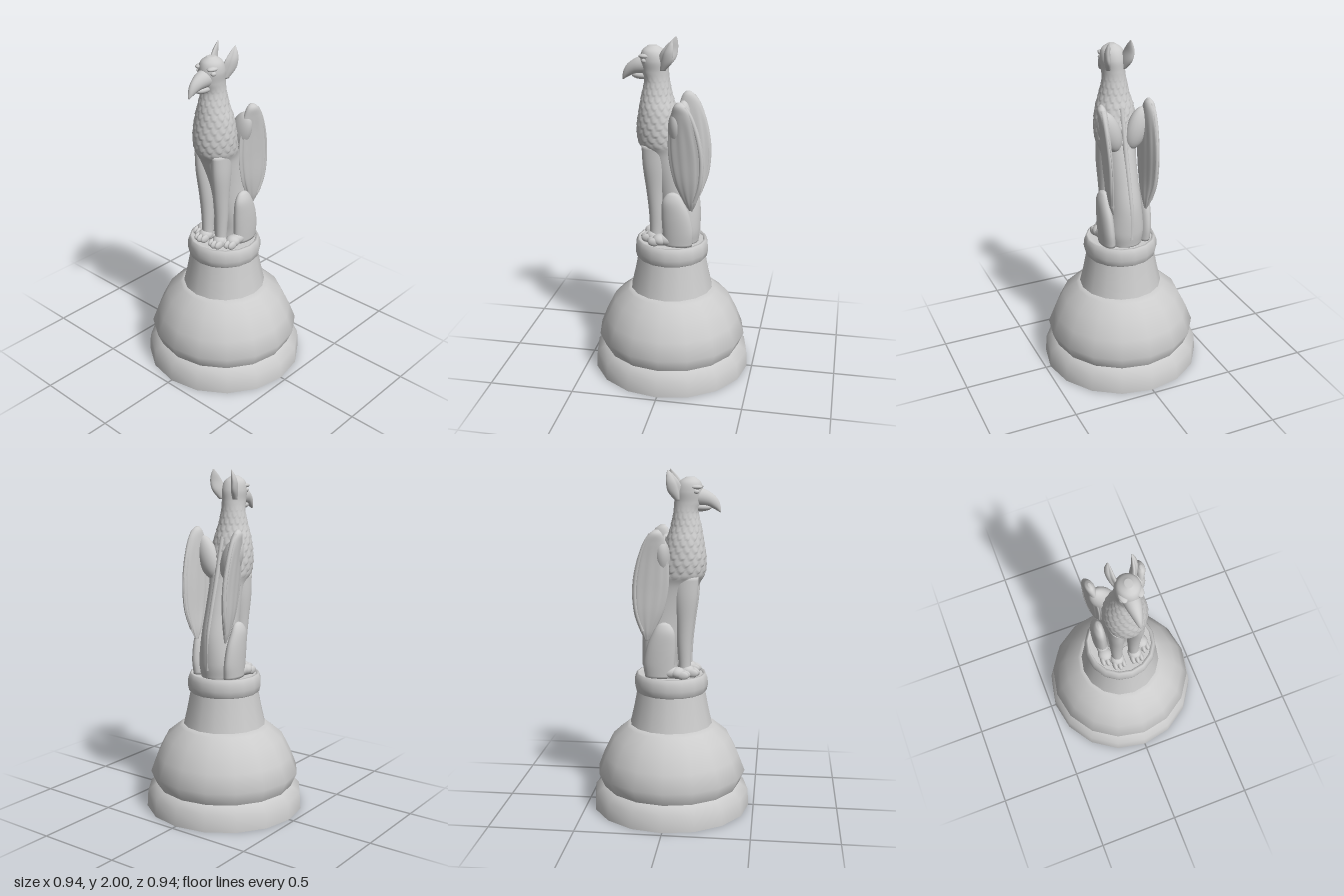
import * as THREE from 'three';

const stone = new THREE.MeshStandardMaterial({ color: 0xcccccc });
const frac = (v) => v - Math.floor(v);

function add(parent, name, geometry) {
  const mesh = new THREE.Mesh(geometry, stone);
  mesh.name = name;
  parent.add(mesh);
  return mesh;
}

// Smooth skin over elliptical sections [x, y, z, rx, rz, turn], listed upwards.
function loft(stations, rows = 32, cols = 24, swell = () => 1) {
  const spline = (f) => new THREE.CatmullRomCurve3(
    stations.map((s) => new THREE.Vector3(...f(s))), false, 'catmullrom');
  const centre = spline((s) => [s[0], s[1], s[2]]);
  const size = spline((s) => [s[3], s[4], s[5] || 0]);
  const pos = [], index = [];
  for (let j = 0; j <= rows; j++) {
    const c = centre.getPoint(j / rows), r = size.getPoint(j / rows);
    const cos = Math.cos(r.z), sin = Math.sin(r.z);
    for (let i = 0; i < cols; i++) {
      const a = (i / cols) * Math.PI * 2, k = swell(a, c.y);
      const px = r.x * Math.cos(a) * k, pz = r.y * Math.sin(a) * k;
      pos.push(c.x + px * cos + pz * sin, c.y, c.z - px * sin + pz * cos);
      if (j < rows) {
        const p = j * cols + i, n = j * cols + (i + 1) % cols;
        index.push(p, p + cols, n, n, p + cols, n + cols);
      }
    }
  }
  // end caps
  const first = centre.getPoint(0), last = centre.getPoint(1);
  pos.push(first.x, first.y, first.z, last.x, last.y, last.z);
  const b = (rows + 1) * cols, top = rows * cols;
  for (let i = 0; i < cols; i++) {
    const n = (i + 1) % cols;
    index.push(b, i, n, b + 1, top + n, top + i);
  }
  const g = new THREE.BufferGeometry();
  g.setAttribute('position', new THREE.Float32BufferAttribute(pos, 3));
  g.setIndex(index);
  g.computeVertexNormals();
  return g;
}

function ellipsoid(x, y, z, rx, ry, rz) {
  return new THREE.SphereGeometry(1, 20, 14).scale(rx, ry, rz).translate(x, y, z);
}

function lathe(points) {
  return new THREE.LatheGeometry(points.map(([r, y]) => new THREE.Vector2(r, y)), 16);
}

// Overlapping feather scales over the mantle and neck
function feathers(a, y) {
  const fade = THREE.MathUtils.smoothstep(y, 1.38, 1.42) * (1 - THREE.MathUtils.smoothstep(y, 1.7, 1.82));
  let h = 0;
  for (let k = 0; k < 2; k++) {
    const u = frac((a / (Math.PI * 2)) * 15 + k * 0.5) - 0.5;
    const w = frac(y / 0.075 + k * 0.5 - 1.6 * u * u);
    h = Math.max(h, (1 - w) * (1 - 3 * u * u));
  }
  return 1 + 0.075 * fade * (h - 0.5);
}

function paw(parent, name, x, z) {
  const g = new THREE.Group();
  g.name = name;
  parent.add(g);
  add(g, 'instep', ellipsoid(x, 0.843, z - 0.025, 0.042, 0.035, 0.045));
  for (const i of [-1, 0, 1]) {
    add(g, 'toe', ellipsoid(x + i * 0.026, 0.834, z + 0.015 - Math.abs(i) * 0.008, 0.015, 0.025, 0.035));
  }
}

export function createModel() {
  const model = new THREE.Group();
  model.name = 'winged beast statue';

  // Pedestal
  const pedestal = new THREE.Group();
  pedestal.name = 'pedestal';
  model.add(pedestal);
  add(pedestal, 'underside', new THREE.CircleGeometry(0.47, 16).rotateX(Math.PI / 2));
  add(pedestal, 'foot', lathe([[0.47, 0], [0.464, 0.1], [0.41, 0.14]]));
  add(pedestal, 'dome', lathe([[0.41, 0.14], [0.444, 0.22], [0.405, 0.32], [0.35, 0.43], [0.27, 0.495], [0.25, 0.51], [0.2, 0.515]]));
  add(pedestal, 'drum', lathe([[0.245, 0.51], [0.222, 0.61], [0.203, 0.71]]));
  add(pedestal, 'collar', lathe([[0.2, 0.705], [0.211, 0.715], [0.219, 0.75], [0.216, 0.79], [0.205, 0.818], [0.195, 0.82], [0.188, 0.808]]));
  add(pedestal, 'top', new THREE.CircleGeometry(0.2, 32).rotateX(-Math.PI / 2).translate(0, 0.81, 0));

  const beast = new THREE.Group();
  beast.name = 'beast';
  model.add(beast);

  // Rump, back, chest, neck and skull in one skin
  add(beast, 'body', loft([
    [0, 0.81, -0.06, 0.1, 0.1], [0, 0.9, -0.065, 0.11, 0.105], [0, 1.05, -0.045, 0.1, 0.12],
    [0, 1.2, -0.01, 0.095, 0.12], [0, 1.34, 0.035, 0.1, 0.125], [0, 1.41, 0.063, 0.117, 0.132],
    [0, 1.5, 0.075, 0.122, 0.127], [0, 1.6, 0.08, 0.11, 0.108], [0, 1.68, 0.085, 0.087, 0.089],
    [0, 1.76, 0.085, 0.07, 0.073], [0.002, 1.82, 0.095, 0.066, 0.078], [0.004, 1.88, 0.1, 0.07, 0.08],
    [0.004, 1.93, 0.105, 0.058, 0.063], [0.004, 1.96, 0.108, 0.02, 0.025],
  ], 180, 108, feathers));

  // Hooked beak, lofted forwards as [x, z, -y, rx, ry] and then tipped upright
  add(beast, 'beak', loft([
    [0.004, 0.12, -1.85, 0.052, 0.055], [0.004, 0.18, -1.845, 0.044, 0.05], [0.004, 0.22, -1.834, 0.034, 0.043],
    [0.004, 0.255, -1.812, 0.022, 0.037], [0.004, 0.275, -1.79, 0.012, 0.027], [0.004, 0.284, -1.772, 0.003, 0.01],
  ], 24, 24).rotateX(Math.PI / 2));
  add(beast, 'lowerJaw', ellipsoid(0.004, 1.79, 0.165, 0.034, 0.024, 0.065));

  for (const s of [1, -1]) {
    const side = new THREE.Group();
    side.name = s > 0 ? 'leftSide' : 'rightSide';
    beast.add(side);

    // Ear hollowed towards the front outer side
    const facing = s > 0 ? Math.PI * 0.25 : Math.PI * 0.75;
    add(side, 'ear', loft([
      [s * 0.045, 1.83, 0.05, 0.015, 0.025], [s * 0.057, 1.88, 0.032, 0.02, 0.046],
      [s * 0.066, 1.93, 0.018, 0.018, 0.041], [s * 0.066, 1.97, 0.002, 0.012, 0.024],
      [s * 0.063, 2.0, -0.012, 0.002, 0.004],
    ].map((p) => [p[0] + 0.005, ...p.slice(1), -s * 0.3]), 24, 24,
    (a) => 1 - 0.5 * Math.max(0, Math.cos(a - facing)) ** 4));
    add(side, 'brow', ellipsoid(s * 0.043 + 0.004, 1.905, 0.14, 0.024, 0.014, 0.04));
    add(side, 'eye', ellipsoid(s * 0.053 + 0.004, 1.88, 0.145, 0.013, 0.013, 0.018));

    // Front leg with shoulder muscle
    add(side, 'frontLeg', loft([
      [s * 0.053, 0.82, 0.088, 0.034, 0.036], [s * 0.053, 0.88, 0.085, 0.032, 0.036],
      [s * 0.054, 1.0, 0.083, 0.038, 0.043], [s * 0.056, 1.13, 0.087, 0.043, 0.053],
      [s * 0.062, 1.27, 0.09, 0.045, 0.068], [s * 0.065, 1.4, 0.09, 0.04, 0.075],
    ]));
    paw(side, 'frontPaw', s * 0.056, 0.125);

    // Folded hind leg
    add(side, 'haunch', loft([
      [s * 0.11, 0.815, -0.055, 0.043, 0.085], [s * 0.116, 0.9, -0.056, 0.042, 0.09],
      [s * 0.12, 1.0, -0.045, 0.04, 0.083], [s * 0.123, 1.08, -0.03, 0.033, 0.064],
      [s * 0.12, 1.125, -0.028, 0.02, 0.038], [s * 0.118, 1.14, -0.028, 0.004, 0.01],
    ]));
    add(side, 'hindFoot', ellipsoid(s * 0.115, 0.845, 0.01, 0.035, 0.035, 0.075));
    paw(side, 'hindPaw', s * 0.115, 0.075);

    // Upright folded wing: [y, leadX, leadZ, trailX, trailZ, halfThickness]
    const wing = [
      [1.03, 0.1, -0.12, 0.105, -0.14, 0.004], [1.09, 0.1, -0.085, 0.12, -0.165, 0.014],
      [1.2, 0.105, -0.035, 0.135, -0.197, 0.018], [1.35, 0.11, -0.005, 0.142, -0.204, 0.02],
      [1.5, 0.118, -0.005, 0.148, -0.178, 0.023], [1.6, 0.13, -0.02, 0.15, -0.142, 0.026],
      [1.65, 0.139, -0.035, 0.15, -0.11, 0.024], [1.675, 0.142, -0.055, 0.146, -0.08, 0.008],
    ];
    add(side, 'wing', loft(wing.map(([y, lx, lz, tx, tz, t]) => [
      s * (lx + tx) / 2, y, (lz + tz) / 2, t, Math.hypot(tx - lx, tz - lz) / 2,
      -s * Math.atan2(tx - lx, lz - tz),
    ]), 64, 60, (a, y) => 1 + 0.05 * Math.sin(a * 10) * (1 - THREE.MathUtils.smoothstep(y, 1.45, 1.62))));

    // Raised rim along the outer edge of the wing
    const rim = new THREE.CatmullRomCurve3(wing.slice(1, 7).map(
      ([, , , tx, tz], i) => new THREE.Vector3(s * tx, wing[i + 1][0], tz + 0.012)));
    add(side, 'wingRim', new THREE.TubeGeometry(rim, 32, 0.013, 10));

    // Muscle joining wing to back
    const joint = ellipsoid(0, 0, 0, 0.065, 0.13, 0.05).rotateZ(-s * 0.35);
    add(side, 'wingShoulder', joint.translate(s * 0.085, 1.5, -0.045));
  }

  // Spine ridge between the wings
  const spine = new THREE.CatmullRomCurve3([
    [0.86, -0.158], [1.05, -0.155], [1.2, -0.122], [1.35, -0.083], [1.5, -0.047], [1.62, -0.018],
  ].map(([y, z]) => new THREE.Vector3(0, y, z)));
  add(beast, 'spine', new THREE.TubeGeometry(spine, 40, 0.014, 10));

  return model;
}
